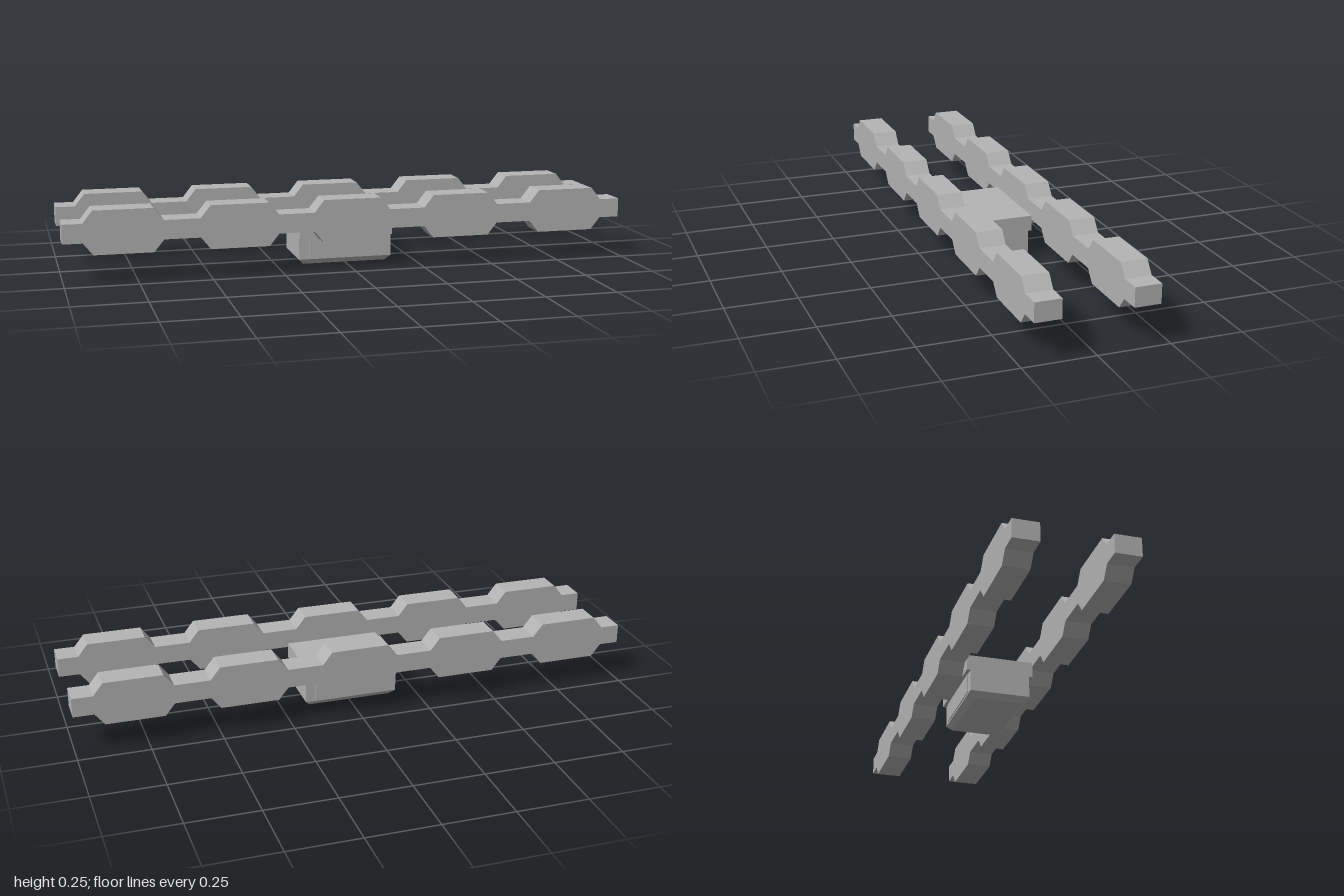
import * as THREE from 'three';

const metal = new THREE.MeshStandardMaterial({ color: 0xb4b4b4 });
metal.name = 'plain grey';

// Side outline of a rail: a narrow strip widened by five bevelled lobes
function railShape() {
  const edge = (narrow, wide) => {
    const points = [[-1, narrow]];
    for (let i = -2; i <= 2; i++) {
      const c = i * 0.397 - 0.002;
      points.push([c - 0.136, narrow], [c - 0.102, wide], [c + 0.102, wide], [c + 0.136, narrow]);
    }
    points.push([1, narrow]);
    return points;
  };
  const outline = [...edge(0.14, 0.098), ...edge(0.207, 0.25).reverse()];
  return new THREE.Shape(outline.map(([x, y]) => new THREE.Vector2(x, y)));
}

export function createModel() {
  const model = new THREE.Group();
  model.name = 'railMount';

  const add = (name, geometry, x, y, z, parent = model) => {
    const mesh = new THREE.Mesh(geometry, metal);
    mesh.name = name;
    mesh.position.set(x, y, z);
    parent.add(mesh);
    return mesh;
  };

  // Twin rails
  const rail = new THREE.ExtrudeGeometry(railShape(), { depth: 0.091, bevelEnabled: false });
  add('frontRail', rail, 0, 0, 0.119);
  add('backRail', rail, 0, 0, -0.21);

  // Central clamp block
  const block = new THREE.Group();
  block.name = 'centreBlock';
  block.position.x = -0.002;
  model.add(block);
  add('bridge', new THREE.BoxGeometry(0.337, 0.056, 0.24), 0, 0.126, 0, block);
  add('body', new THREE.BoxGeometry(0.337, 0.078, 0.214), 0, 0.059, 0, block);

  // Bevelled foot: a box whose lower corners are drawn inward
  const foot = new THREE.BoxGeometry(0.337, 0.02, 0.214);
  const p = foot.attributes.position;
  for (let i = 0; i < p.count; i++) {
    if (p.getY(i) < 0) {
      p.setX(i, Math.sign(p.getX(i)) * 0.15);
      p.setZ(i, Math.sign(p.getZ(i)) * 0.087);
    }
  }
  foot.computeVertexNormals();
  add('bevelledFoot', foot, 0, 0.01, 0, block);

  // Slightly raised plates on both long sides
  for (const s of [-1, 1]) {
    add('sidePlate', new THREE.BoxGeometry(0.265, 0.07, 0.004), 0, 0.062, s * 0.108, block);
  }
  return model;
}
